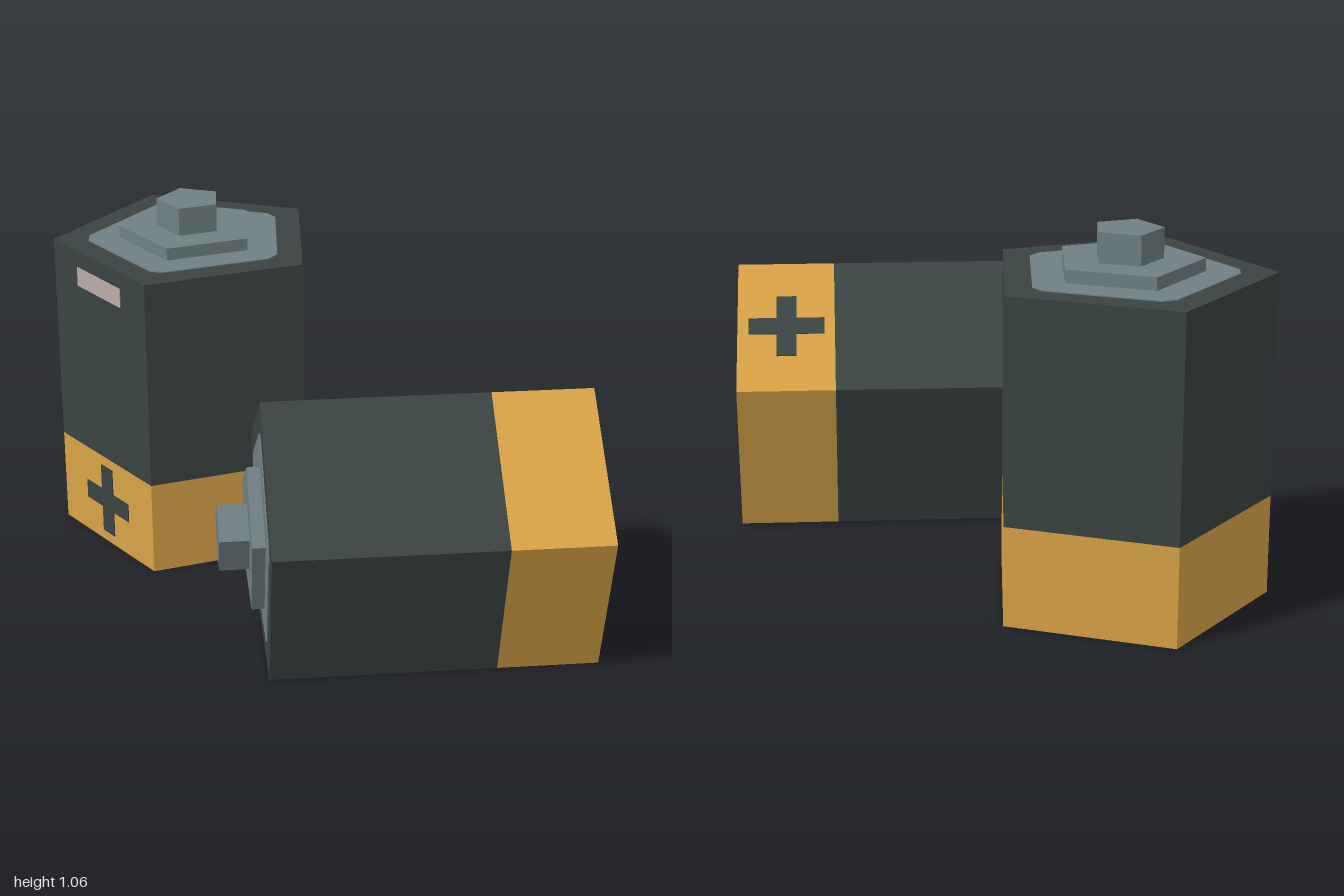
import * as THREE from 'three';

const mat = (name, color) => Object.assign(new THREE.MeshStandardMaterial({ color }), { name });
const SIDES = 5, R = 0.413, FACE = R * Math.cos(Math.PI / SIDES);

// Faceted pentagonal turning of a [radius, height] profile, one corner at -z
function prism(profile) {
  const pts = profile.map(([r, y]) => new THREE.Vector2(r, y));
  const geo = new THREE.LatheGeometry(pts, SIDES, Math.PI).toNonIndexed();
  geo.computeVertexNormals();
  return geo;
}

// Thin pentagon with clipped corners, lying flat with one corner at -z
function clippedPentagon(radius, clip, depth) {
  const corners = [];
  for (let i = 0; i < SIDES; i++) {
    const a = Math.PI / 2 + (i * 2 * Math.PI) / SIDES;
    corners.push(new THREE.Vector2(Math.cos(a) * radius, Math.sin(a) * radius));
  }
  const pts = [];
  corners.forEach((c, i) => {
    const prev = corners[(i + SIDES - 1) % SIDES], next = corners[(i + 1) % SIDES];
    pts.push(c.clone().lerp(prev, clip), c.clone().lerp(next, clip));
  });
  const geo = new THREE.ExtrudeGeometry(new THREE.Shape(pts), { depth, bevelEnabled: false });
  return geo.rotateX(-Math.PI / 2);
}

// Plus sign outline centred on the origin
function plusShape(half, w) {
  const quarter = [[w, w], [w, half], [-w, half]];
  const pts = [];
  for (let i = 0; i < 4; i++) {
    const a = (i * Math.PI) / 2;
    quarter.forEach(([x, y]) => pts.push(
      new THREE.Vector2(x * Math.cos(a) - y * Math.sin(a), x * Math.sin(a) + y * Math.cos(a))));
  }
  return new THREE.Shape(pts);
}

export function createModel() {
  const dark = mat('charcoal casing', 0x3a4443);
  const gold = mat('gold band', 0xd9a347);
  const metal = mat('grey metal', 0x6f7f84);
  const pale = mat('pale label', 0xbbaca7);

  function battery(name) {
    const g = new THREE.Group();
    g.name = name;
    const add = (part, geo, material) => {
      const m = new THREE.Mesh(geo, material);
      m.name = part;
      g.add(m);
      return m;
    };
    // Casing, with a shallow dish in the base
    add('baseDish', prism([[0, 0.03], [0.216, 0.03], [0.31, 0]]), metal);
    add('goldBand', prism([[0.31, 0], [R, 0], [R, 0.29]]), gold);
    add('casing', prism([[R, 0.29], [R, 0.935], [0, 0.935]]), dark);
    // Lid and stepped terminal
    add('lid', clippedPentagon(0.322, 0.07, 0.003), metal).position.y = 0.935;
    add('terminalStep', prism([[0.213, 0.935], [0.213, 0.975], [0, 0.975]]), metal);
    add('terminalKnob', prism([[0.099, 0.975], [0.099, 1.06], [0, 1.06]]), metal);
    // Painted marks on the front face
    const plus = new THREE.ExtrudeGeometry(plusShape(0.113, 0.03), { depth: 0.003, bevelEnabled: false });
    add('plusMark', plus, dark).position.set(0, 0.146, FACE);
    add('label', new THREE.BoxGeometry(0.23, 0.06, 0.004), pale).position.set(0, 0.854, FACE);
    return g;
  }

  const model = new THREE.Group();
  model.name = 'batteries';

  const standing = battery('standingBattery');
  standing.position.set(-0.607, 0, 0.081);

  // Lying battery: terminal towards the front right, marked face turned upwards
  const lying = battery('lyingBattery');
  const axis = new THREE.Vector3(-0.537, 0, 0.843).normalize();
  const across = new THREE.Vector3(-axis.z, 0, axis.x);
  const roll = Math.PI / 5 - 0.02;
  const face = new THREE.Vector3(0, Math.cos(roll), 0).addScaledVector(across, Math.sin(roll));
  const side = new THREE.Vector3().crossVectors(axis, face);
  lying.quaternion.setFromRotationMatrix(new THREE.Matrix4().makeBasis(side, axis, face));
  lying.position.set(0.665, 0.339, -0.394);

  model.add(standing, lying);
  return model;
}
